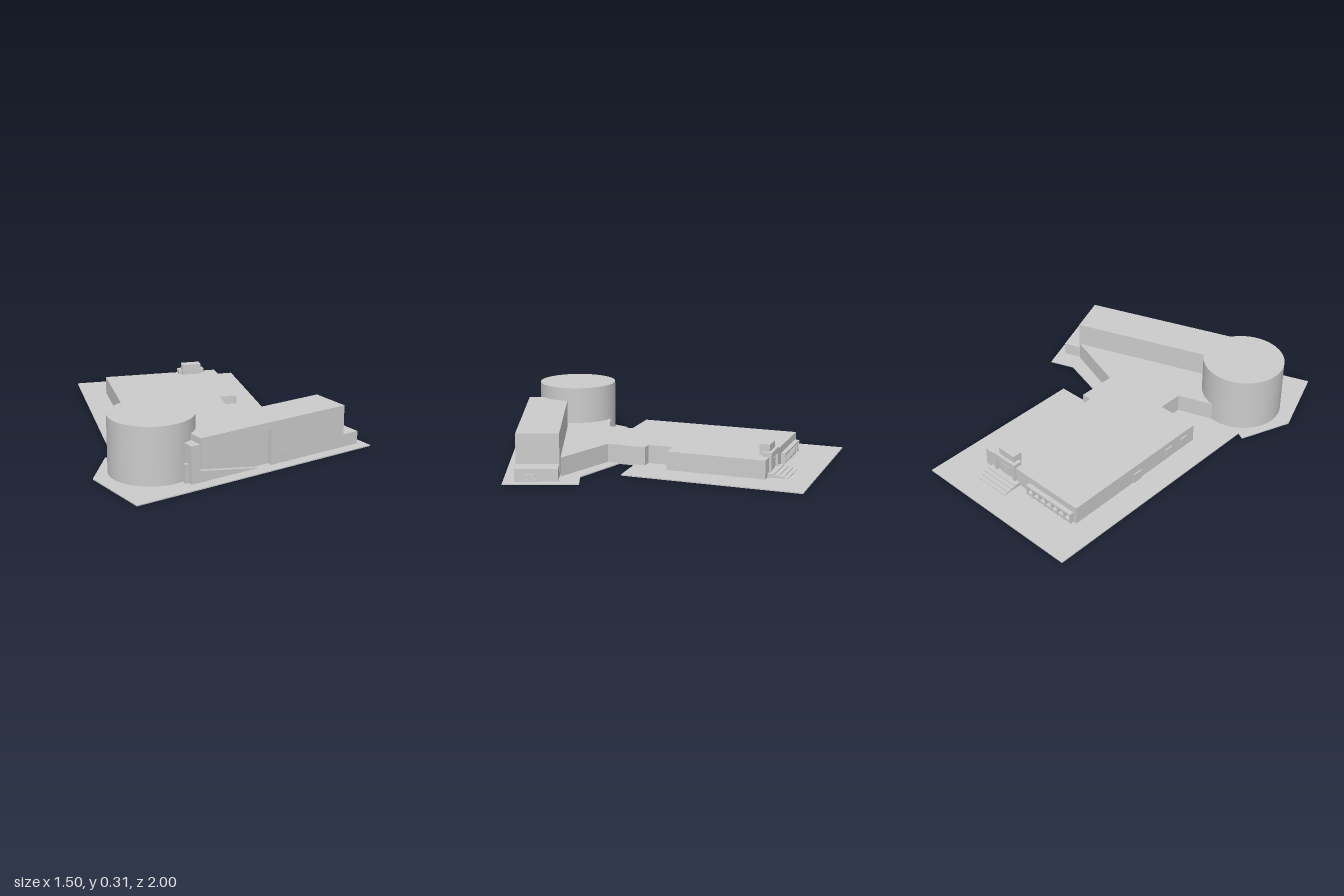
import * as THREE from 'three';

const grey = new THREE.MeshStandardMaterial({ color: 0xcccccc, side: THREE.DoubleSide });
const FLOOR = 0.006;

function add(parent, name, geometry) {
  const mesh = new THREE.Mesh(geometry, grey);
  mesh.name = name;
  parent.add(mesh);
  return mesh;
}

// box given by its min and max on each axis
function block(parent, name, x0, x1, y0, y1, z0, z1) {
  const mesh = add(parent, name, new THREE.BoxGeometry(x1 - x0, y1 - y0, z1 - z0));
  mesh.position.set((x0 + x1) / 2, (y0 + y1) / 2, (z0 + z1) / 2);
  return mesh;
}

// vertical prism over a floor plan of [x, z] corners
function plan(parent, name, corners, y0, y1) {
  const shape = new THREE.Shape(corners.map(([x, z]) => new THREE.Vector2(x, -z)));
  const geometry = new THREE.ExtrudeGeometry(shape, { depth: y1 - y0, bevelEnabled: false });
  geometry.rotateX(-Math.PI / 2).translate(0, y0, 0);
  return add(parent, name, geometry);
}

// slab with a front outline of [x, y] corners, from z0 to z1
function facade(parent, name, corners, z0, z1) {
  const shape = new THREE.Shape(corners.map(([x, y]) => new THREE.Vector2(x, y)));
  const geometry = new THREE.ExtrudeGeometry(shape, { depth: z1 - z0, bevelEnabled: false });
  return add(parent, name, geometry.translate(0, 0, z0));
}

function buildHall() {
  const hall = new THREE.Group();
  hall.name = 'hall';
  plan(hall, 'lowHall', [
    [-0.47, -0.76], [0.2, -0.76], [0.2, -0.22], [0.1, -0.22], [0.1, -0.08], [0.155, -0.08],
    [0.155, 0.135], [0.515, 0.255], [-0.3, 0.565], [-0.42, 0.5], [-0.42, 0.35],
    [-0.235, 0.28], [-0.235, 0.14], [-0.465, 0.14],
  ], FLOOR, 0.107);

  // window bay on the back wall
  block(hall, 'bayRoof', -0.45, -0.13, 0.058, 0.068, -0.785, -0.76);
  block(hall, 'baySill', -0.45, -0.13, FLOOR, 0.022, -0.781, -0.76);
  for (let i = 0; i < 8; i++) {
    const x = -0.45 + i * 0.0447;
    block(hall, 'bayPier', x, x + 0.007, FLOOR, 0.058, -0.785, -0.76);
  }

  // back entrance: portal, rooftop box and steps
  block(hall, 'portalLintel', -0.03, 0.125, 0.1, 0.13, -0.773, -0.72);
  for (const x of [-0.03, 0.107]) block(hall, 'portalPost', x, x + 0.018, FLOOR, 0.1, -0.773, -0.755);
  block(hall, 'portalDoor', 0.015, 0.08, 0.025, 0.085, -0.764, -0.755);
  block(hall, 'roofBox', -0.01, 0.1, 0.107, 0.167, -0.755, -0.7);
  for (let i = 0; i < 4; i++) {
    block(hall, 'step', -0.055, 0.153, FLOOR, 0.01 + i * 0.005, -0.87 + i * 0.025, -0.76);
  }

  // doors and windows on the right wall
  block(hall, 'sideDoor', -0.474, -0.46, FLOOR, 0.06, -0.34, -0.28);
  for (const z of [-0.09, 0.03]) {
    block(hall, 'sideWindow', -0.473, -0.46, 0.04, 0.075, z, z + 0.05);
  }
  return hall;
}

// local x runs along the wing, its front face lies on z = 0
function buildWing() {
  const wing = new THREE.Group();
  wing.name = 'wing';
  wing.position.set(-0.25, 0, 0.795);
  wing.rotation.y = 0.363;

  block(wing, 'wingBody', 0, 0.91, FLOOR, 0.237, -0.228, -0.03);
  // front wall overhanging the recessed ground floor
  facade(wing, 'frontWall', [
    [0, 0.083], [0.219, 0.083], [0.219, 0.195], [0.433, 0.195],
    [0.433, FLOOR], [0.91, FLOOR], [0.91, 0.237], [0, 0.237],
  ], -0.03, 0);
  facade(wing, 'ramp', [[-0.05, FLOOR], [0.353, FLOOR], [-0.05, 0.075]], -0.028, -0.003);
  block(wing, 'frontDoor', 0.515, 0.55, FLOOR, 0.068, -0.01, 0.003);
  block(wing, 'rampDoor', 0.016, 0.036, FLOOR, 0.042, -0.01, 0.001);

  // stair block at the tower end
  block(wing, 'stairBlock', -0.05, 0, FLOOR, 0.204, -0.09, -0.004);
  block(wing, 'stairPost', -0.068, -0.05, FLOOR, 0.105, -0.05, -0.03);

  // low annex with a small porch
  block(wing, 'annex', 0.91, 1.007, FLOOR, 0.075, -0.226, 0);
  block(wing, 'porchDoor', 1.0, 1.01, FLOOR, 0.05, -0.1, -0.065);
  block(wing, 'porchCanopy', 1.007, 1.022, 0.04, 0.046, -0.11, -0.055);
  for (const z of [-0.11, -0.059]) block(wing, 'porchSide', 1.007, 1.022, FLOOR, 0.02, z, z + 0.004);
  return wing;
}

export function createModel() {
  const model = new THREE.Group();
  model.name = 'buildingComplex';

  plan(model, 'ground', [
    [-0.61, -1], [0.37, -1], [0.37, -0.025], [0.155, -0.02], [0.155, 0.065], [0.48, 0.16],
    [0.61, 0.11], [0.75, 0.48], [-0.605, 1], [-0.755, 0.615], [-0.65, 0.335], [-0.61, 0.355],
  ], 0, FLOOR);

  const tower = add(model, 'roundTower', new THREE.CylinderGeometry(0.222, 0.222, 0.307, 48));
  tower.position.set(-0.45, FLOOR + 0.1535, 0.57);

  model.add(buildHall(), buildWing());
  return model;
}
